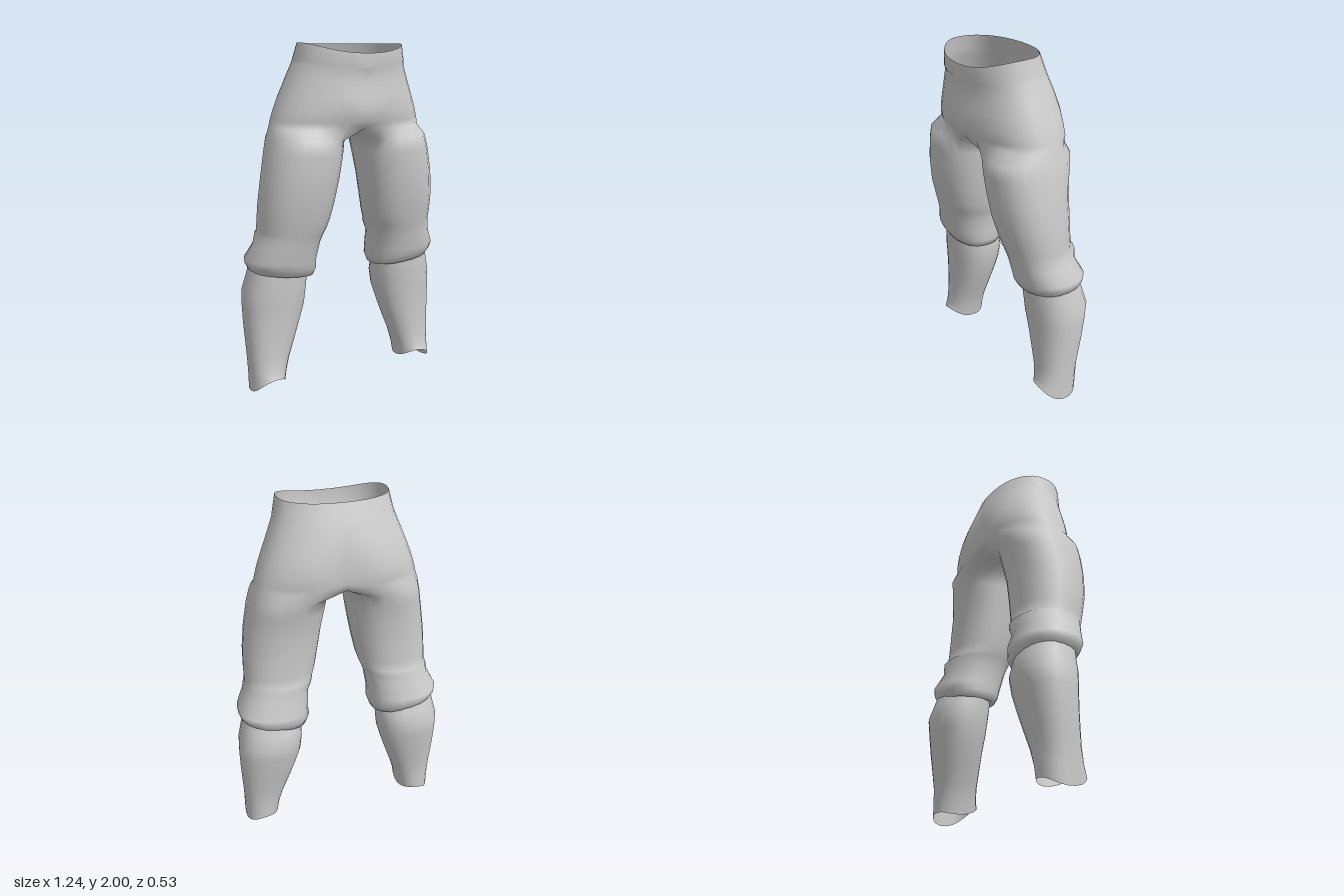
import * as THREE from 'three';

const OUT = 16, INN = 6, RING = OUT + INN; // outer arc and inner-thigh arc steps
const soft = (v, e) => Math.sign(v) * Math.pow(Math.abs(v), e);
const bell = (d, w) => Math.exp(-(d * d) / (w * w));

// Hips, half rings: y, half width, front z, back z, front drop
const HIPS = [
  [2.0, 0.305, 0.252, -0.155, 0.055],
  [1.91, 0.325, 0.254, -0.19, 0.035],
  [1.885, 0.332, 0.24, -0.198, 0.03],
  [1.8, 0.365, 0.242, -0.23, 0.01],
  [1.71, 0.402, 0.244, -0.255, 0],
  [1.64, 0.428, 0.245, -0.265, 0],
  [1.58, 0.447, 0.238, -0.265, 0],
  [1.54, 0.458, 0.222, -0.25, 0],
];

// Thigh and knee cuff rings: y, inner x, outer x, front z, back z, outer lift
const THIGH = [
  [1.48, 0.055, 0.474, 0.245, -0.232, 0.01],
  [1.4, 0.065, 0.496, 0.245, -0.212, 0.01],
  [1.27, 0.085, 0.522, 0.236, -0.19, 0],
  [1.13, 0.11, 0.54, 0.215, -0.187, 0],
  [1.02, 0.132, 0.545, 0.185, -0.188, 0],
  [0.965, 0.15, 0.545, 0.17, -0.192, 0],
  [0.945, 0.158, 0.55, 0.163, -0.215, 0],
  [0.885, 0.18, 0.563, 0.146, -0.205, 0],
  [0.79, 0.192, 0.605, 0.128, -0.25, 0.01],
  [0.745, 0.188, 0.6, 0.112, -0.243, 0.02],
  [0.705, 0.205, 0.58, 0.086, -0.222, 0.025],
  [0.72, 0.25, 0.56, 0.06, -0.2, 0.02],
];

const CALF = [
  [0.76, 0.24, 0.575, 0.075, -0.215, 0.02],
  [0.68, 0.24, 0.59, 0.074, -0.24, 0.02],
  [0.6, 0.242, 0.615, 0.07, -0.265, 0],
  [0.51, 0.252, 0.618, 0.06, -0.25, 0],
  [0.4, 0.287, 0.616, 0.052, -0.23, 0],
  [0.3, 0.322, 0.611, 0.05, -0.21, 0],
  [0.2, 0.36, 0.606, 0.05, -0.192, 0],
  [0.12, 0.385, 0.603, 0.06, -0.187, 0],
];

// Half of a hip ring, from centre front round the side to centre back
function hipRing([y, w, zf, zb, drop]) {
  return Array.from({ length: OUT + 1 }, (_, j) => {
    const a = (j / OUT) * Math.PI, c = Math.cos(a);
    const x = j % OUT ? w * soft(Math.sin(a), 0.9) : 0;
    let z = (zf + zb) / 2 + ((zf - zb) / 2) * soft(c, 0.85);
    if (c < 0) z += 0.035 * bell(x, 0.09) * bell(y - 1.62, 0.14); // seat cleft
    else z += 0.022 * bell(x, 0.13) * bell(y - 1.65, 0.06);       // front fullness
    return [x, y - drop * Math.max(0, c) ** 2, z];
  });
}

// Full leg ring, starting at the front inner corner
function legRing([y, xi, xo, zf, zb, lift], hem) {
  return Array.from({ length: RING }, (_, j) => {
    const t = j <= OUT ? -0.25 + (1.5 * j) / OUT : 1.25 + (0.5 * (j - OUT)) / INN;
    const a = t * Math.PI, s = Math.sin(a), c = Math.cos(a);
    return [
      (xi + xo) / 2 + ((xo - xi) / 2) * soft(s, 0.88),
      hem ? 0.02 - 0.018 * s + 0.05 * c * c + 0.025 * c : y + lift * s,
      (zf + zb) / 2 + ((zf - zb) / 2) * soft(c, 0.88),
    ];
  });
}

// Skin consecutive rings; a row is closed when both of its rings are full
function skin(rings) {
  const starts = [], pos = [], index = [];
  for (const r of rings) {
    starts.push(pos.length / 3);
    r.forEach((p) => pos.push(...p));
  }
  for (let i = 0; i < rings.length - 1; i++) {
    const closed = rings[i].length === RING && rings[i + 1].length === RING;
    for (let j = 0; j < (closed ? RING : OUT); j++) {
      const k = (j + 1) % RING;
      const a = starts[i] + j, b = starts[i] + k, c = starts[i + 1] + j, d = starts[i + 1] + k;
      index.push(a, c, b, b, c, d);
    }
  }
  const g = new THREE.BufferGeometry();
  g.setAttribute('position', new THREE.Float32BufferAttribute(pos, 3));
  g.setIndex(index);
  g.computeVertexNormals();
  // Keep shading continuous across the centre seam
  const n = g.attributes.normal, v = new THREE.Vector3();
  for (let i = 0; i < n.count; i++) {
    if (pos[i * 3] !== 0) continue;
    v.fromBufferAttribute(n, i).setX(0).normalize();
    n.setXYZ(i, v.x, v.y, v.z);
  }
  return g;
}

export function createModel() {
  const group = new THREE.Group();
  group.name = 'trousers';
  const material = new THREE.MeshStandardMaterial({ color: 0xcccccc, side: THREE.DoubleSide });

  // The last hip ring is closed by a sagging crotch line on the centre plane
  const hips = HIPS.map(hipRing);
  const crotch = hips[hips.length - 1];
  const front = crotch[0][2], back = crotch[OUT][2];
  for (let j = 1; j < INN; j++) {
    const t = j / INN;
    crotch.push([0, 1.54 - 0.035 * Math.sin(Math.PI * t), back + (front - back) * t]);
  }

  const upper = skin([...hips, ...THIGH.map((r) => legRing(r))]);
  const hem = legRing([0, 0.4, 0.602, 0.075, -0.185, 0], true);
  const lower = skin([...CALF.map((r) => legRing(r)), hem]);

  for (const [side, sx] of [['left', 1], ['right', -1]]) {
    const half = new THREE.Group();
    half.name = side + 'Half';
    half.scale.x = sx;
    for (const [name, geo] of [['HipThighAndKneeCuff', upper], ['Calf', lower]]) {
      const mesh = new THREE.Mesh(geo, material);
      mesh.name = side + name;
      half.add(mesh);
    }
    group.add(half);
  }
  return group;
}
